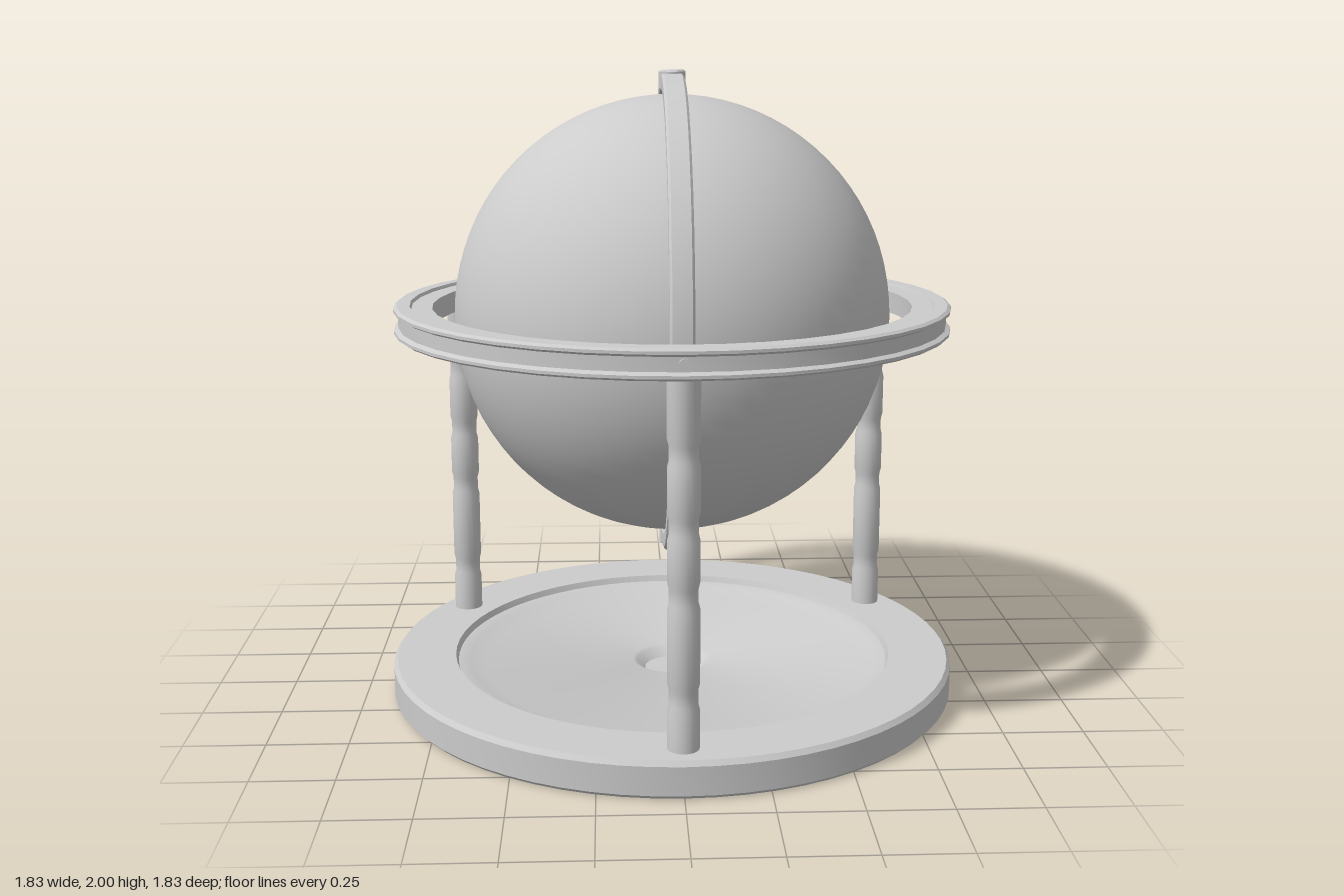
import * as THREE from 'three';
import { toCreasedNormals } from 'three/addons/utils/BufferGeometryUtils.js';

const GLOBE_Y = 1.235;

export function createModel() {
  const group = new THREE.Group();
  const material = new THREE.MeshStandardMaterial({ color: 0xcccccc });

  const add = (name, geometry, x = 0, y = 0, z = 0) => {
    const mesh = new THREE.Mesh(geometry, material);
    mesh.name = name;
    mesh.position.set(x, y, z);
    group.add(mesh);
    return mesh;
  };

  // Turned solid from [radius, height] pairs, bottom to top along the outside
  const turned = (profile, segments) => toCreasedNormals(
    new THREE.LatheGeometry(profile.map(([r, y]) => new THREE.Vector2(r, y)), segments), 0.5);

  // Round base with a recessed tray and a small central dish
  add('base', turned([
    [0, 0], [0.905, 0], [0.917, 0.012], [0.917, 0.1], [0.905, 0.115],
    [0.716, 0.115], [0.708, 0.095], [0.67, 0.09], [0.62, 0.066],
    [0.13, 0.066], [0.118, 0.06], [0.09, 0.035], [0, 0.035],
  ], 64));

  // Three turned legs, with shallow waists along the shaft
  const legProfile = [[0, 0.1], [0.047, 0.1]];
  for (const y of [0.27, 0.57, 0.77, 0.98]) {
    legProfile.push([0.047, y - 0.04], [0.042, y - 0.02], [0.042, y + 0.02], [0.047, y + 0.04]);
  }
  legProfile.push([0.047, 1.2], [0, 1.2]);
  const legGeometry = turned(legProfile, 20);
  ['frontLeg', 'leftLeg', 'rightLeg'].forEach((name, i) => {
    const a = (i * Math.PI * 2) / 3;
    add(name, legGeometry, 0.82 * Math.sin(a), 0, 0.82 * Math.cos(a));
  });

  // Horizontal ring with rounded flanges and a groove round the outside
  add('horizonRing', turned([
    [0.76, 1.2], [0.825, 1.2], [0.83, 1.19], [0.87, 1.19], [0.88, 1.197], [0.88, 1.206],
    [0.866, 1.214], [0.866, 1.256], [0.88, 1.264], [0.88, 1.273], [0.87, 1.28],
    [0.83, 1.28], [0.825, 1.27], [0.76, 1.27], [0.76, 1.2],
  ], 40));

  // Upright ring that carries the globe
  const meridian = turned([
    [0.707, -0.035], [0.748, -0.035], [0.755, -0.028], [0.755, 0.028],
    [0.748, 0.035], [0.707, 0.035], [0.707, -0.035],
  ], 40).rotateZ(Math.PI / 2);
  add('meridianRing', meridian, 0, GLOBE_Y, 0);

  // Globe
  add('globe', new THREE.SphereGeometry(0.69, 64, 40), 0, GLOBE_Y, 0);

  // Pole caps and axle pins, above and below
  const cap = turned([[0, -0.032], [0.036, -0.032], [0.042, -0.026],
    [0.042, 0.026], [0.036, 0.032], [0, 0.032]], 20);
  const axle = new THREE.CylinderGeometry(0.02, 0.02, 0.08, 16);
  for (const [side, s] of [['top', 1], ['bottom', -1]]) {
    add(side + 'Cap', cap, 0, GLOBE_Y + s * 0.732, 0);
    add(side + 'Axle', axle, 0, GLOBE_Y + s * 0.7, 0);
  }

  // Pins joining the two rings, front and back
  const pin = new THREE.CylinderGeometry(0.017, 0.017, 0.14, 12).rotateX(Math.PI / 2);
  add('frontPin', pin, 0, GLOBE_Y, 0.802);
  add('backPin', pin, 0, GLOBE_Y, -0.802);

  return group;
}
